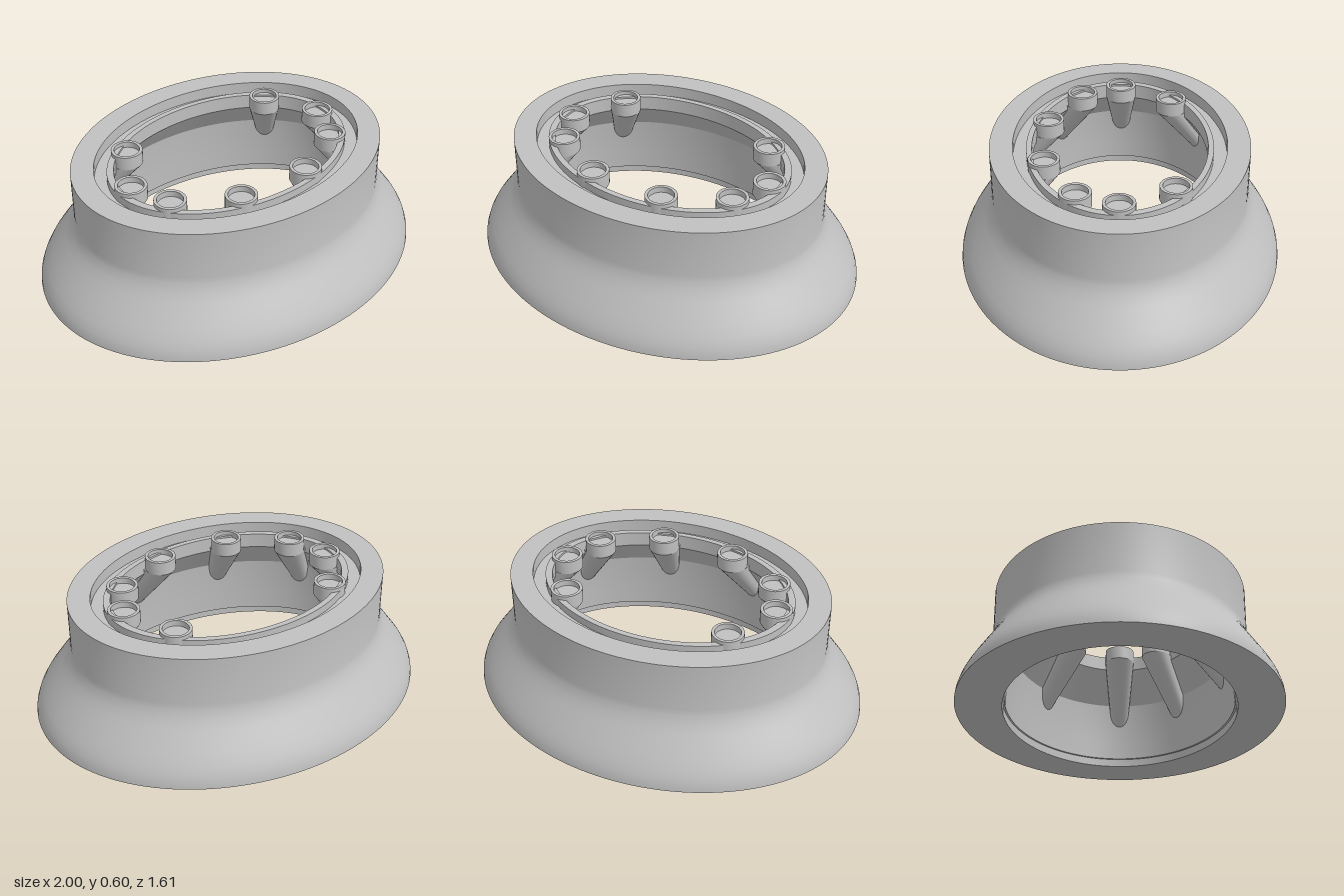
import * as THREE from 'three';
import { toCreasedNormals } from 'three/addons/utils/BufferGeometryUtils.js';
import { ConvexGeometry } from 'three/addons/geometries/ConvexGeometry.js';

const grey = new THREE.MeshStandardMaterial({ color: 0xc0c0c0 });
grey.name = 'plain grey';

// Oval revolve: each profile point is [half width in x, half depth in z, height]
function ovalLathe(profile, segments = 128) {
  const geo = new THREE.LatheGeometry(profile.map(([a, , y]) => new THREE.Vector2(a, y)), segments);
  const pos = geo.attributes.position;
  for (let i = 0; i < pos.count; i++) {
    const [a, b] = profile[i % profile.length];
    pos.setZ(i, pos.getZ(i) * b / a);
  }
  return toCreasedNormals(geo, 0.35);
}

// Horizontal circle of points
function circle(x, y, z, r, n = 32) {
  return Array.from({ length: n }, (_, i) => {
    const t = (i / n) * Math.PI * 2;
    return new THREE.Vector3(x + r * Math.cos(t), y, z + r * Math.sin(t));
  });
}

function add(group, name, geo) {
  const mesh = new THREE.Mesh(geo, grey);
  mesh.name = name;
  group.add(mesh);
  return mesh;
}

export function createModel() {
  const model = new THREE.Group();
  model.name = 'ovalBase';

  // Flared skirt, straight collar, grooved rim, undercut throat and hollow underside
  add(model, 'shell', ovalLathe([
    [0.77, 0.575, 0], [1, 0.805, 0], [0.997, 0.802, 0.025], [0.985, 0.791, 0.06],
    [0.963, 0.771, 0.1], [0.93, 0.743, 0.145], [0.893, 0.711, 0.195], [0.858, 0.681, 0.24],
    [0.83, 0.657, 0.28], [0.811, 0.641, 0.32], [0.805, 0.635, 0.35], [0.805, 0.635, 0.6],
    [0.695, 0.522, 0.6], [0.695, 0.522, 0.54], [0.635, 0.457, 0.54], [0.635, 0.457, 0.58],
    [0.6, 0.43, 0.58], [0.6, 0.43, 0.505], [0.735, 0.55, 0.345],
    [0.747, 0.558, 0.25], [0.754, 0.563, 0.14], [0.757, 0.565, 0.04],
    [0.77, 0.575, 0.04], [0.77, 0.575, 0],
  ]));

  // Socket cups around the opening, each blending into a tapered strut that runs out to the wall
  const cupGeo = toCreasedNormals(new THREE.LatheGeometry(
    [[0.077, 0.53], [0.077, 0.6], [0.062, 0.6], [0.062, 0.57], [0, 0.57]]
      .map(([r, y]) => new THREE.Vector2(r, y)), 32), 0.5);

  for (const [cx, z] of [[0.42, -0.26], [0.56, 0], [0.475, 0.2], [0.19, 0.36]]) {
    for (const side of [1, -1]) {
      const x = cx * side;
      const socket = new THREE.Group();
      socket.name = 'socket';
      add(socket, 'socketCup', cupGeo).position.set(x, 0, z);

      const out = new THREE.Vector3(x / 0.36, 0, z / 0.185).normalize();
      const ring = (d, y, r) => circle(x + out.x * d, y, z + out.z * d, r);
      const strutGeo = new ConvexGeometry([
        ...ring(0, 0.53, 0.077), ...ring(0.09, 0.53, 0.077), ...ring(0.25, 0.2, 0.04),
      ]);
      add(socket, 'socketStrut', toCreasedNormals(strutGeo, 0.5));
      model.add(socket);
    }
  }
  return model;
}
